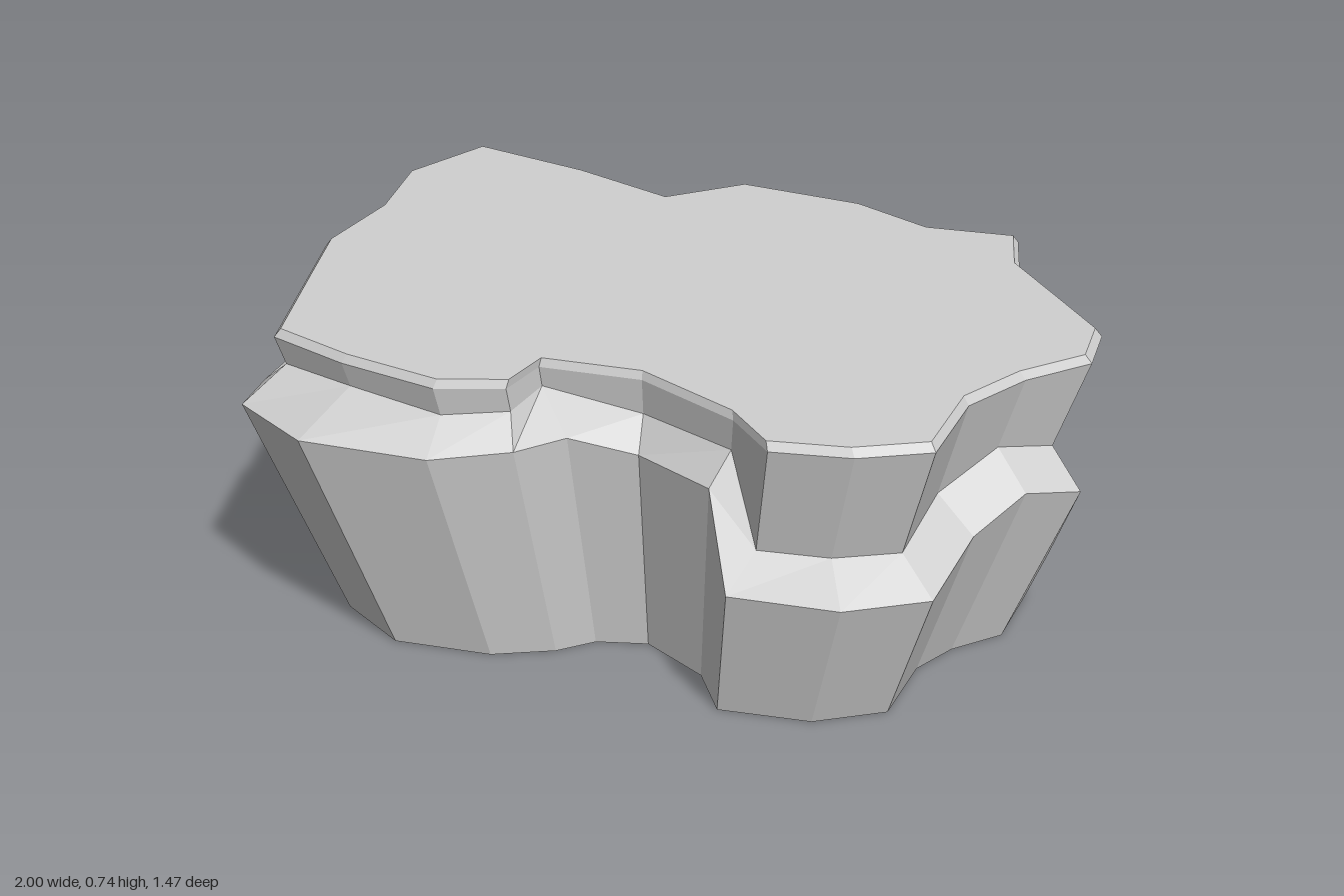
import * as THREE from 'three';

// Columns around the rock: top edge x, z, then ledge rim x, z, height
const columns = [
  // back
  [-0.87, -0.725, -0.81, -0.735, 0.36], [-0.55, -0.665, -0.48, -0.715, 0.41],
  [-0.27, -0.575, -0.22, -0.55, 0.25], [-0.11, -0.735, -0.11, -0.72, 0.24],
  [0.21, -0.72, 0.2, -0.67, 0.12], [0.42, -0.635, 0.4, -0.625, 0.13],
  [0.64, -0.665, 0.62, -0.64, 0.255],
  // left side
  [0.69, -0.5, 0.69, -0.47, 0.255], [0.84, -0.34, 0.8, -0.34, 0.12],
  [0.97, -0.2, 0.88, -0.2, 0.12], [0.985, -0.05, 0.995, 0.01, 0.42],
  [0.87, 0.09, 0.9, 0.14, 0.46], [0.79, 0.26, 0.82, 0.27, 0.4],
  // front
  [0.79, 0.5, 0.8, 0.5, 0.355], [0.64, 0.59, 0.63, 0.62, 0.355],
  [0.46, 0.63, 0.38, 0.66, 0.36], [0.34, 0.52, 0.3, 0.56, 0.56],
  [0.08, 0.41, 0.09, 0.455, 0.55], [-0.16, 0.435, -0.06, 0.51, 0.59],
  [-0.18, 0.565, -0.15, 0.6, 0.58], [-0.33, 0.625, -0.32, 0.69, 0.57],
  [-0.58, 0.585, -0.62, 0.73, 0.58],
  // right side
  [-0.79, 0.52, -0.84, 0.6, 0.57], [-0.877, 0.22, -0.99, 0.25, 0.45],
  [-0.94, 0, -1, 0.02, 0.45], [-0.92, -0.25, -0.94, -0.22, 0.37],
  [-0.965, -0.49, -0.9, -0.43, 0.34],
];

const TOP = 0.735, EDGE = 0.715, BEVEL = 0.075;
const flare = (y) => 1 + 0.47 * y; // the rock widens with height

// Cross-section loops, from the ground up
const base = columns.map(([, , x, z, y]) => [x / flare(y), 0, z / flare(y)]);
const rim = columns.map(([, , x, z, y]) => [x, y, z]);
const ledge = columns.map(([x, z, , , y]) => {
  const s = flare(y + BEVEL) / flare(EDGE);
  return [x * s, y + BEVEL, z * s];
});
const edge = columns.map(([x, z]) => [x, EDGE, z]);
const crown = columns.map(([x, z]) => [x * 0.983, TOP, z * 0.983]);

// Faceted band between two loops
function band(lower, upper) {
  const pos = [];
  lower.forEach((a, i) => {
    const j = (i + 1) % lower.length;
    pos.push(...a, ...upper[i], ...lower[j], ...lower[j], ...upper[i], ...upper[j]);
  });
  const g = new THREE.BufferGeometry();
  g.setAttribute('position', new THREE.Float32BufferAttribute(pos, 3));
  g.computeVertexNormals();
  return g;
}

// Flat cap closing a loop; dir is 1 facing up, -1 facing down
function cap(loop, dir) {
  const shape = new THREE.Shape(loop.map(([x, , z]) => new THREE.Vector2(x, -dir * z)));
  return new THREE.ShapeGeometry(shape).rotateX(-dir * Math.PI / 2).translate(0, loop[0][1], 0);
}

export function createModel() {
  const group = new THREE.Group();
  group.name = 'rockPlateau';
  const stone = new THREE.MeshStandardMaterial({ color: 0xd0d0d0 });
  stone.name = 'paleGreyStone';
  stone.flatShading = true;
  const add = (name, geometry) => {
    const mesh = new THREE.Mesh(geometry, stone);
    mesh.name = name;
    group.add(mesh);
  };
  add('underside', cap(base, -1));
  add('lowerCliff', band(base, rim));
  add('slopingLedge', band(rim, ledge));
  add('upperCliff', band(ledge, edge));
  add('topBevel', band(edge, crown));
  add('plateauTop', cap(crown, 1));
  return group;
}
